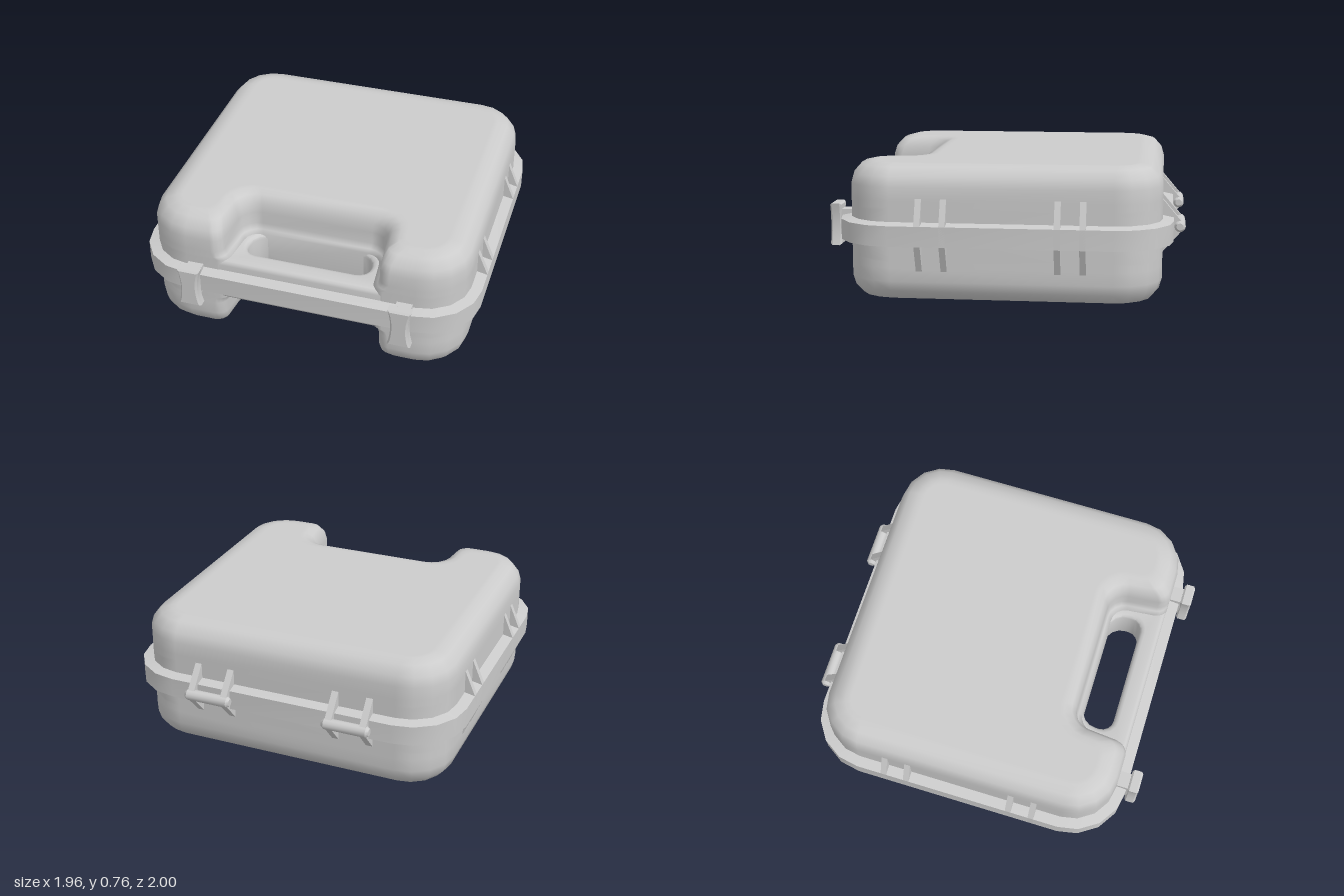
import * as THREE from 'three';
import { toCreasedNormals } from 'three/addons/utils/BufferGeometryUtils.js';

const MID = 0.38; // height of the parting line
const material = new THREE.MeshStandardMaterial({ color: 0xcccccc, side: THREE.DoubleSide });

// Rounds each corner [x, z, radius] of a closed polygon with a four-sided arc
function roundedOutline(corners, segments = 4) {
  const points = [];
  const w = Math.SQRT1_2;
  corners.forEach(([x, z, r], i) => {
    const p = new THREE.Vector2(x, z);
    const toward = ([nx, nz]) => new THREE.Vector2(nx, nz).sub(p).setLength(r).add(p);
    const a = toward(corners.at(i - 1));
    const b = toward(corners[(i + 1) % corners.length]);
    for (let s = 0; s <= segments; s++) {
      const t = s / segments;
      const ka = (1 - t) ** 2, kp = 2 * w * t * (1 - t), kb = t * t, k = ka + kp + kb;
      points.push(new THREE.Vector2(
        (a.x * ka + p.x * kp + b.x * kb) / k,
        (a.y * ka + p.y * kp + b.y * kb) / k));
    }
  });
  return points;
}

// Adds the mirrored left-hand corners
const mirrored = (half) => [...half, ...half.map(([x, z, r]) => [-x, z, r]).reverse()];

// Shell outline: d insets the outside, n widens the handle recess
const shellOutline = (d, n) => roundedOutline(mirrored([
  [0.92 - d, -0.87 + d, 0.26 - d],
  [0.92 - d, 0.87 - d, 0.26 - d],
  [0.455 + n, 0.87 - d, 0.06],
  [0.425 + n, 0.53 - n, 0.1 + n * 0.6],
]));

const rimOutline = (d) => roundedOutline(mirrored([
  [0.98 - d, -0.93 + d, 0.32 - d],
  [0.98 - d, 0.93 - d, 0.32 - d],
]));

// Joins rings { points, y } into a skin; flip turns the faces over
function loft(rings, { cap = false, flip = false } = {}) {
  const count = rings[0].points.length;
  const position = rings.flatMap(({ points, y }) => points.flatMap((p) => [p.x, y, p.y]));
  const index = [];
  const face = (a, b, c) => index.push(...(flip ? [a, c, b] : [a, b, c]));
  for (let r = 0; r < rings.length - 1; r++) {
    for (let i = 0; i < count; i++) {
      const a = r * count + i, b = r * count + (i + 1) % count;
      face(a, a + count, b);
      face(b, a + count, b + count);
    }
  }
  if (cap) {
    const base = (rings.length - 1) * count;
    for (const [a, b, c] of THREE.ShapeUtils.triangulateShape(rings.at(-1).points, [])) {
      face(base + a, base + c, base + b);
    }
  }
  const geometry = new THREE.BufferGeometry();
  geometry.setAttribute('position', new THREE.Float32BufferAttribute(position, 3));
  geometry.setIndex(index);
  geometry.computeVertexNormals();
  return geometry;
}

const polygon = (points) => new THREE.Shape(points.map(([x, y]) => new THREE.Vector2(x, y)));

// Flat plate of a given thickness, centred on z = 0
function slab(shape, thickness) {
  return new THREE.ExtrudeGeometry(shape, { depth: thickness, bevelEnabled: false })
    .translate(0, 0, -thickness / 2);
}

export function createModel() {
  const model = new THREE.Group();
  const add = (name, geometry, parent = model) => {
    const mesh = new THREE.Mesh(geometry, material);
    mesh.name = name;
    parent.add(mesh);
    return mesh;
  };

  // Lid and base: [outer inset, recess widening, height]
  const profile = [
    [0, -0.035, MID], [0, -0.035, 0.515], [0, -0.012, 0.53], [0, 0, 0.565], [0, 0, 0.64],
    [0.016, 0.008, 0.695], [0.06, 0.03, 0.744], [0.12, 0.07, 0.76], [0.15, 0.1, 0.76],
  ];
  const rings = (height) => profile.map(([d, n, y]) => ({ points: shellOutline(d, n), y: height(y) }));
  add('lid', loft(rings((y) => y), { cap: true }));
  add('base', loft(rings((y) => 2 * MID - y), { cap: true, flip: true }));

  // Rim around the parting line
  const rim = [[0.08, 0.312], [0, 0.325], [0, 0.438], [0.08, 0.455]]
    .map(([d, y]) => ({ points: rimOutline(d), y }));
  add('rim', toCreasedNormals(loft(rim), 0.6));

  // Handle plate with its grip opening
  const plate = polygon([[-0.5, 0.45], [0.5, 0.45], [0.5, 0.868], [-0.5, 0.868]]);
  plate.holes.push(new THREE.Path(roundedOutline(mirrored([
    [0.36, 0.56, 0.1], [0.36, 0.75, 0.07],
  ]))));
  const handle = new THREE.ExtrudeGeometry(plate, {
    depth: 0.21, bevelThickness: 0.03, bevelSize: 0.03, bevelOffset: -0.03, bevelSegments: 3,
  }).rotateX(Math.PI / 2).translate(0, MID + 0.105, 0);
  add('handle', toCreasedNormals(handle, 0.6));

  // Side ribs
  const ribShape = polygon([[0.9, 0.18], [0.92, 0.18], [0.98, 0.325], [0.98, 0.438], [0.92, 0.58], [0.9, 0.58]]);
  const ribGeometry = slab(ribShape, 0.034);
  for (const turn of [0, Math.PI]) {
    for (const z of [-0.447, -0.31, 0.31, 0.447]) {
      const rib = add('sideRib', ribGeometry);
      rib.rotation.y = turn;
      rib.position.z = z;
    }
  }

  // Hinges: two brackets and a pin each
  const bracketShape = polygon([
    [-0.85, 0.22], [-0.865, 0.235], [-0.975, 0.36], [-0.975, 0.415], [-0.865, 0.545], [-0.85, 0.56],
  ]);
  const bracketGeometry = slab(bracketShape, 0.038).rotateY(-Math.PI / 2);
  const pinProfile = [[0, -0.137], [0.02, -0.137], [0.032, -0.122], [0.032, 0.122], [0.02, 0.137], [0, 0.137]]
    .map(([x, y]) => new THREE.Vector2(x, y));
  const pinGeometry = toCreasedNormals(
    new THREE.LatheGeometry(pinProfile, 12).rotateZ(Math.PI / 2), 0.6);
  for (const side of [-1, 1]) {
    const hinge = new THREE.Group();
    hinge.name = 'hinge';
    hinge.position.x = side * 0.415;
    for (const x of [-0.1, 0.1]) add('hingeBracket', bracketGeometry, hinge).position.x = x;
    add('hingePin', pinGeometry, hinge).position.set(0, 0.387, -0.966);
    model.add(hinge);
  }

  // Latches: waisted front plate with a tab over the rim
  const latchShape = new THREE.Shape();
  latchShape.moveTo(-0.066, -0.12);
  latchShape.lineTo(0.066, -0.12);
  latchShape.quadraticCurveTo(0.03, 0, 0.066, 0.12);
  latchShape.lineTo(-0.066, 0.12);
  latchShape.quadraticCurveTo(-0.03, 0, -0.066, -0.12);
  const latchGeometry = toCreasedNormals(new THREE.ExtrudeGeometry(latchShape, {
    depth: 0.044, bevelThickness: 0.01, bevelSize: 0.01, bevelOffset: -0.01, bevelSegments: 1, curveSegments: 6,
  }), 0.6);
  for (const side of [-1, 1]) {
    const latch = new THREE.Group();
    latch.name = 'latch';
    latch.position.x = side * 0.607;
    add('latchPlate', latchGeometry, latch).position.set(0, 0.385, 0.946);
    add('latchTab', new THREE.BoxGeometry(0.09, 0.165, 0.09), latch).position.set(0, 0.388, 0.905);
    model.add(latch);
  }

  return model;
}
